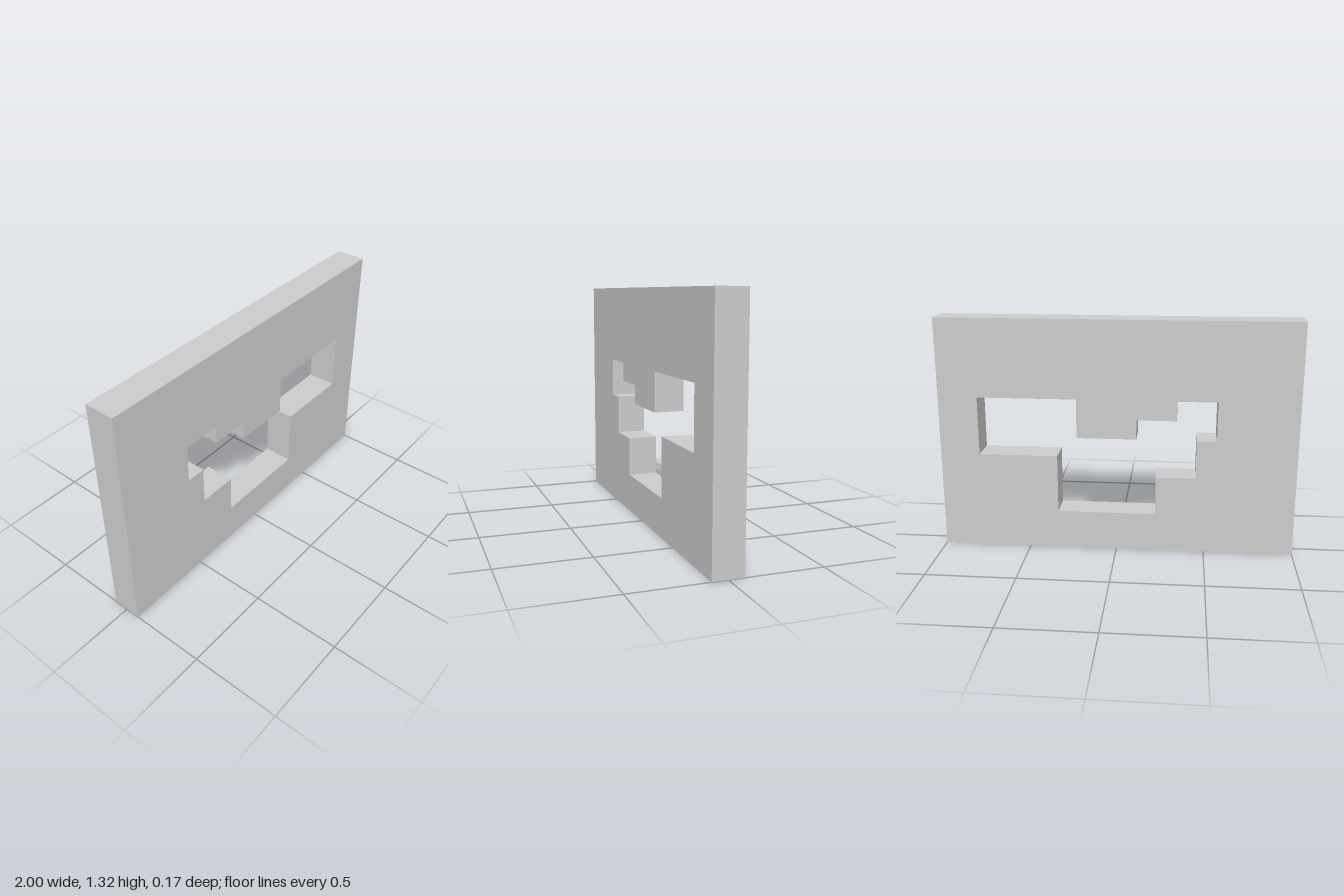
import * as THREE from 'three';

// Upright slab, 18 x 12 cells, with a stepped opening cut straight through
const CELL_X = 2 / 18;
const CELL_Y = 1.324 / 12;
const DEPTH = 0.167;

// Cell coordinates: x from the centre line, y from the base
const toPoints = (cells) => cells.map(([x, y]) => new THREE.Vector2(x * CELL_X, y * CELL_Y));

export function createModel() {
  const group = new THREE.Group();
  group.name = 'wallPanel';

  const outline = new THREE.Shape(toPoints([[-9, 0], [9, 0], [9, 12], [-9, 12]]));

  // Stepped opening, from its top left corner
  outline.holes.push(new THREE.Path(toPoints([
    [-5, 8], [-3, 8], [-3, 7], [-1, 7], [-1, 6], [2, 6], [2, 8], [7, 8],
    [7, 5], [3, 5], [3, 2], [-2, 2], [-2, 4], [-4, 4], [-4, 6], [-5, 6],
  ])));

  const geometry = new THREE.ExtrudeGeometry(outline, { depth: DEPTH, bevelEnabled: false });
  geometry.translate(0, 0, -DEPTH / 2);

  const panel = new THREE.Mesh(
    geometry,
    new THREE.MeshStandardMaterial({ color: 0xcccccc, flatShading: true }),
  );
  panel.name = 'panelWithSteppedOpening';
  group.add(panel);
  return group;
}
